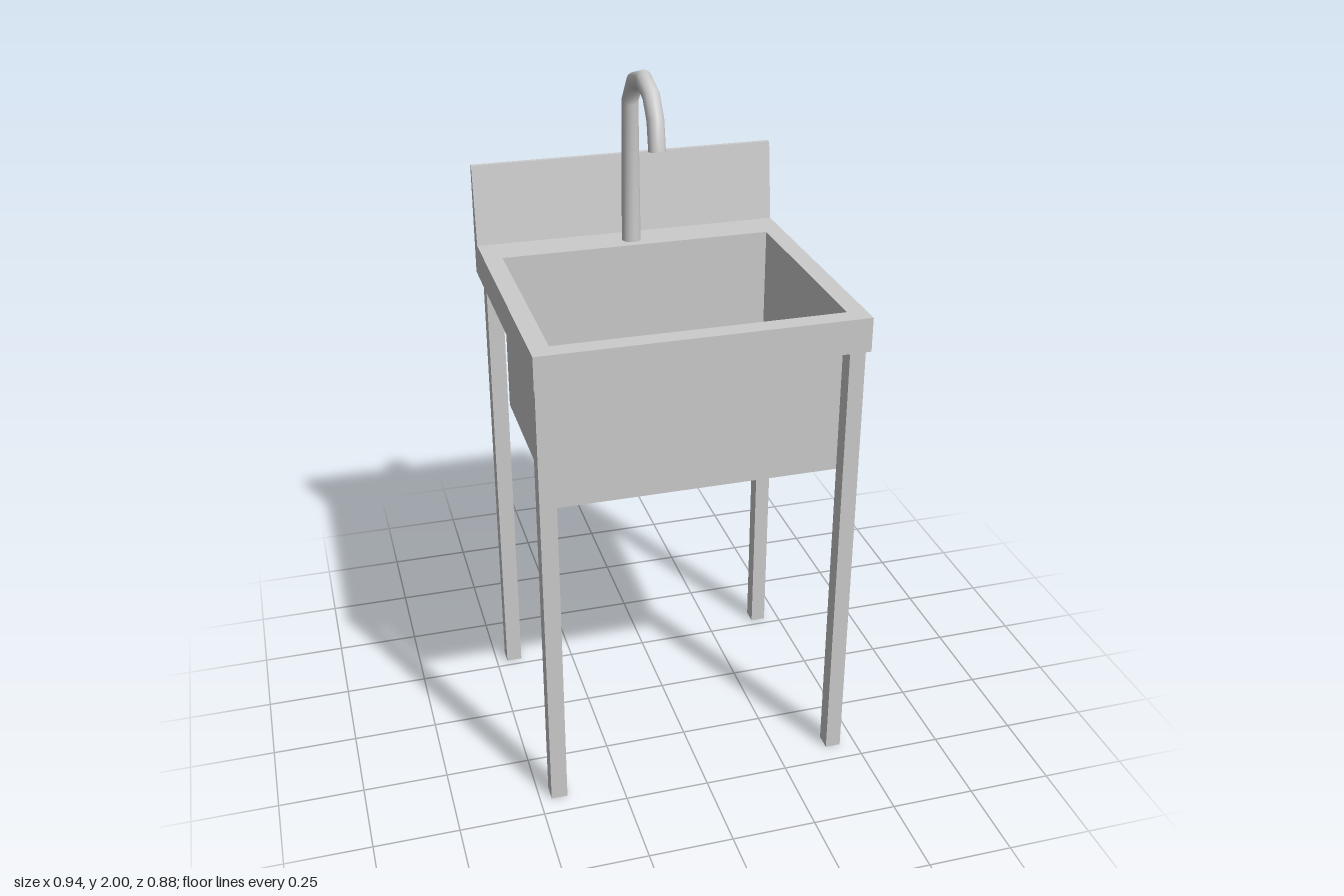
import * as THREE from 'three';

const metal = new THREE.MeshStandardMaterial({ color: 0xcccccc });
const thinMetal = new THREE.MeshStandardMaterial({ color: 0xcccccc, side: THREE.DoubleSide });

function addMesh(group, name, geometry, material = metal) {
  const mesh = new THREE.Mesh(geometry, material);
  mesh.name = name;
  group.add(mesh);
  return mesh;
}

// Box spanning two corners, with some sides left off (order: +x, -x, +y, -y, +z, -z)
function openBox([x0, y0, z0], [x1, y1, z1], openSides) {
  const geo = new THREE.BoxGeometry(x1 - x0, y1 - y0, z1 - z0);
  const index = Array.from(geo.index.array).filter((_, i) => !openSides.includes(Math.floor(i / 6)));
  geo.setIndex(index);
  geo.clearGroups();
  return geo.translate((x0 + x1) / 2, (y0 + y1) / 2, (z0 + z1) / 2);
}

function rectangle(PathType, x0, y0, x1, y1) {
  return new PathType([[x0, y0], [x1, y0], [x1, y1], [x0, y1]].map(p => new THREE.Vector2(...p)));
}

// Round pipe with mitred bends along [z, y, radius] stations in the plane x = cx
function mitredPipe(cx, stations, sides) {
  const points = stations.map(([z, y]) => new THREE.Vector2(z, y));
  const positions = [], index = [];
  points.forEach((p, i) => {
    const before = points[Math.max(i - 1, 0)], after = points[Math.min(i + 1, points.length - 1)];
    const a = p.clone().sub(before).normalize(), b = after.clone().sub(p).normalize();
    const dir = a.clone().add(b).normalize();
    const stretch = 1 / Math.max(dir.dot(i ? a : b), 0.5);
    const r = stations[i][2];
    for (let k = 0; k < sides; k++) {
      const t = (k / sides) * Math.PI * 2;
      const across = Math.sin(t) * r * stretch;
      positions.push(cx + Math.cos(t) * r, p.y - dir.x * across, p.x + dir.y * across);
      if (i === 0) continue;
      const n = (k + 1) % sides, lo = (i - 1) * sides, hi = i * sides;
      index.push(lo + k, hi + k, lo + n, lo + n, hi + k, hi + n);
    }
  });
  const geo = new THREE.BufferGeometry();
  geo.setAttribute('position', new THREE.Float32BufferAttribute(positions, 3));
  geo.setIndex(index);
  geo.computeVertexNormals();
  return geo;
}

export function createModel() {
  const sink = new THREE.Group();
  sink.name = 'utilitySink';

  const rimTop = 1.445, rimBottom = 1.345;
  const halfWidth = 0.468, back = -0.441, front = 0.441;
  const basin = { x: 0.413, z0: -0.275, z1: 0.385, bottom: 0.96 };

  // Rim slab with the basin opening
  const rimShape = rectangle(THREE.Shape, -halfWidth, back, halfWidth, front);
  rimShape.holes.push(rectangle(THREE.Path, -basin.x, basin.z0, basin.x, basin.z1));
  const rim = new THREE.ExtrudeGeometry(rimShape, { depth: rimTop - rimBottom, bevelEnabled: false });
  addMesh(sink, 'rim', rim.rotateX(Math.PI / 2).translate(0, rimTop, 0));

  // Thin sheet basin below the rim, open at the top
  addMesh(sink, 'basin', openBox(
    [-basin.x, basin.bottom, basin.z0], [basin.x, rimBottom, basin.z1], [2]), thinMetal);

  // Backsplash: a wedge leaning back, extruded across the width
  const splashShape = new THREE.Shape(
    [[0.395, rimTop], [-back, rimTop], [-back, 1.685], [0.427, 1.685]].map(p => new THREE.Vector2(...p)));
  const splash = new THREE.ExtrudeGeometry(splashShape, { depth: halfWidth * 2, bevelEnabled: false });
  addMesh(sink, 'backsplash', splash.rotateY(Math.PI / 2).translate(-halfWidth, 0, 0));

  // Four hollow square legs, open at the ends
  for (const [side, x0, x1] of [['Right', -0.466, -0.418], ['Left', 0.406, 0.452]]) {
    for (const [end, z0, z1] of [['front', 0.39, 0.44], ['back', -0.324, -0.275]]) {
      addMesh(sink, `${end}${side}Leg`, openBox([x0, 0, z0], [x1, rimBottom, z1], [2, 3]), thinMetal);
    }
  }

  // Gooseneck faucet, slightly tapered
  addMesh(sink, 'faucet', mitredPipe(-0.005, [
    [-0.328, rimTop, 0.029], [-0.328, 1.875, 0.025], [-0.267, 1.948, 0.025], [-0.178, 1.975, 0.025],
    [-0.093, 1.947, 0.025], [-0.05, 1.89, 0.025], [-0.033, 1.806, 0.025],
  ], 16), thinMetal);

  return sink;
}
